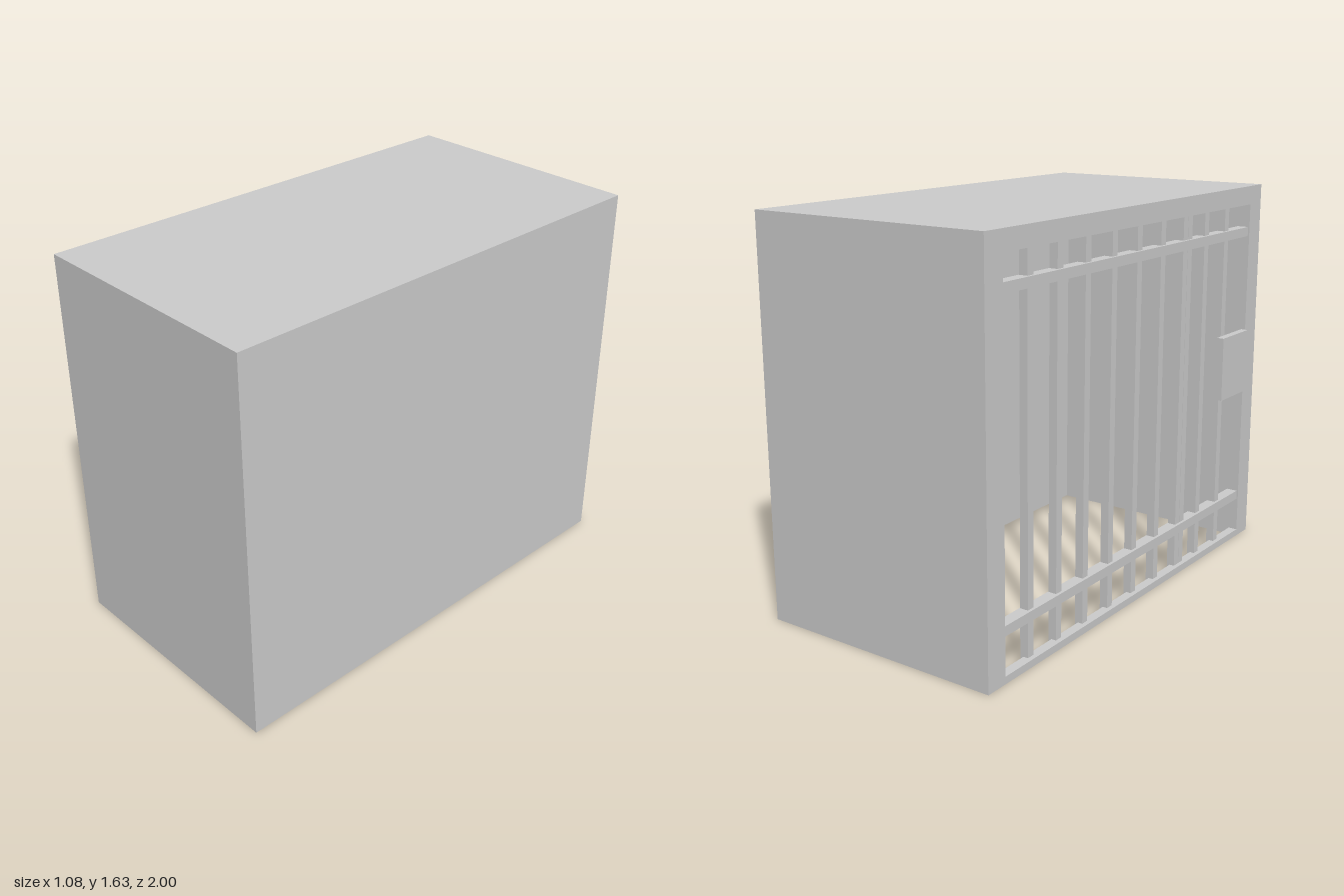
import * as THREE from 'three';

export function createModel() {
  const group = new THREE.Group();
  const material = new THREE.MeshStandardMaterial({ color: 0xcccccc, flatShading: true });

  // Box given by its minimum and maximum corners
  function box(name, [x0, y0, z0], [x1, y1, z1], parent = group) {
    const mesh = new THREE.Mesh(new THREE.BoxGeometry(x1 - x0, y1 - y0, z1 - z0), material);
    mesh.position.set((x0 + x1) / 2, (y0 + y1) / 2, (z0 + z1) / 2);
    mesh.name = name;
    parent.add(mesh);
  }

  const right = -0.525, left = 0.54, height = 1.63, wall = 0.1;
  const ceiling = height - 0.08, inner = 1 - wall;

  // Shell: U-shaped walls and roof in one piece each, floor open
  const plan = new THREE.Shape([
    [right, -1], [left, -1], [left, 1], [right, 1],
    [right, inner], [left - wall, inner], [left - wall, -inner], [right, -inner],
  ].map(([x, z]) => new THREE.Vector2(x, -z)));
  const walls = new THREE.Mesh(
    new THREE.ExtrudeGeometry(plan, { depth: ceiling, bevelEnabled: false }), material);
  walls.rotation.x = -Math.PI / 2;
  walls.name = 'walls';
  group.add(walls);
  box('roof', [right, ceiling, -1], [left, height, 1]);

  // Barred side
  const bars = new THREE.Group();
  bars.name = 'barredSide';
  group.add(bars);
  const barX = -0.488, r = 0.0175;
  for (let i = 1; i < 10; i++) {
    const z = -inner + i * 0.18;
    box('verticalBar', [barX - r, 0, z - r], [barX + r, ceiling, z + r], bars);
  }
  // Extra bar beside the door edge
  box('doorPost', [barX - r, 0, 0.38], [barX + r, ceiling, 0.415], bars);

  // Cross rails and bottom sill
  for (const y of [0.2, 1.43]) {
    box('crossRail', [-0.518, y - 0.02, -inner], [-0.468, y + 0.02, inner], bars);
  }
  box('sill', [right, 0, -inner], [-0.485, 0.03, inner], bars);

  // Lock plate
  box('lockPlate', [-0.542, 0.71, 0.66], [-0.51, 0.99, 0.89], bars);

  return group;
}
